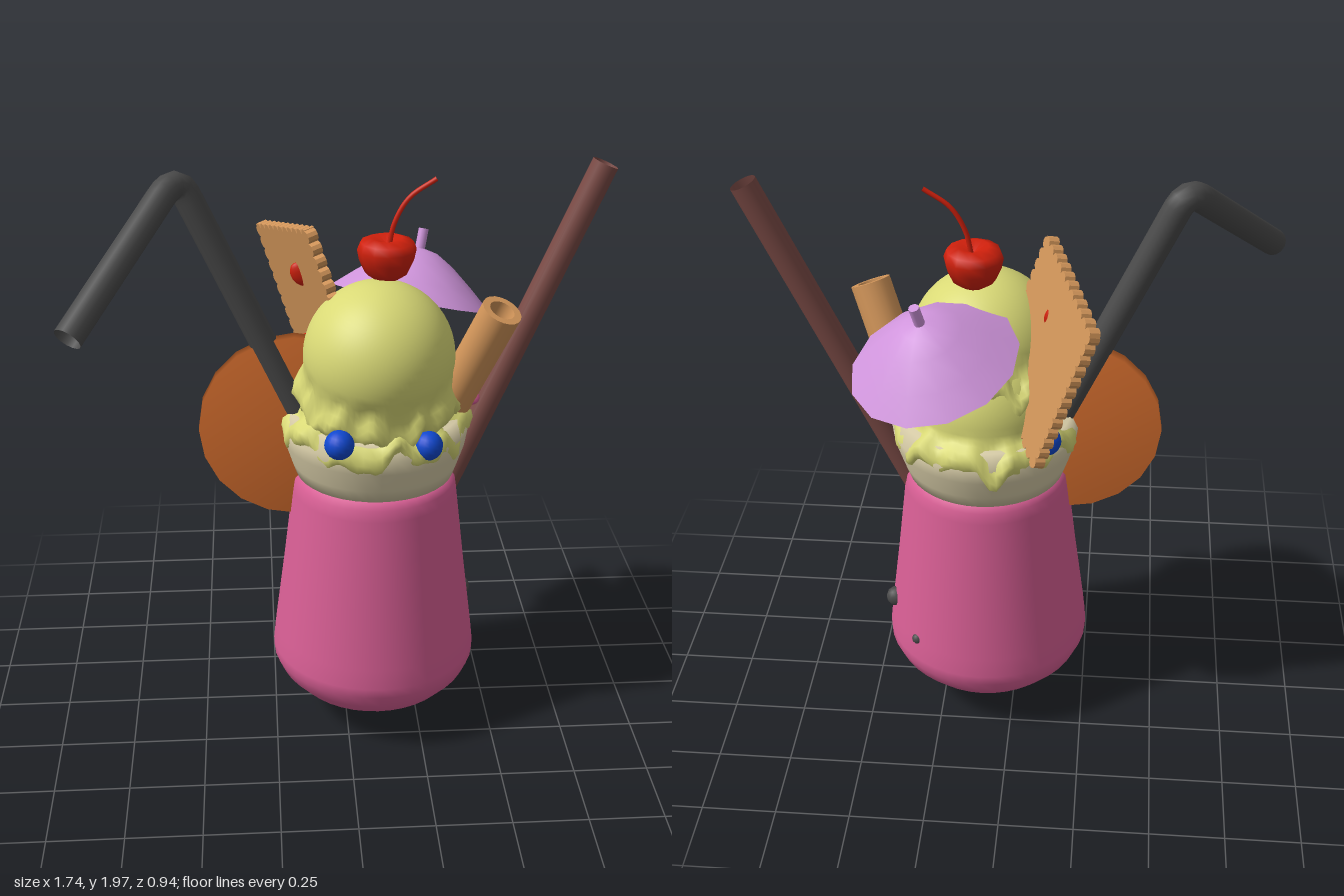
import * as THREE from 'three';
import { mergeVertices } from 'three/addons/utils/BufferGeometryUtils.js';

const V = (x, y, z) => new THREE.Vector3(x, y, z);
const P = (list) => list.map(([x, y]) => new THREE.Vector2(x, y));

function paint(name, color, double = false) {
  const m = new THREE.MeshStandardMaterial({ color });
  m.name = name;
  if (double) m.side = THREE.DoubleSide;
  return m;
}

export function createModel() {
  const model = new THREE.Group();
  model.name = 'iceCreamShake';

  const pink = paint('berryPink', 0xd95f95);
  const yellow = paint('lemonIceCream', 0xd9d976);
  const cream = paint('cream', 0xd8cda8);
  const orange = paint('orange', 0xd9702f);
  const purple = paint('paperPurple', 0xd095dc, true);
  const tan = paint('waferTan', 0xd3965a, true);
  const brown = paint('strawBrown', 0x7a4a45, true);
  const grey = paint('strawGrey', 0x4a4a4a, true);
  const red = paint('cherryRed', 0xd0200c);
  const blue = paint('blueberry', 0x1048d0);

  function add(name, geometry, material, pos) {
    const mesh = new THREE.Mesh(geometry, material);
    mesh.name = name;
    if (pos) mesh.position.set(...pos);
    model.add(mesh);
    return mesh;
  }

  // Straight round bar between two points
  function rod(name, a, b, r, material, open = true, sides = 16) {
    const dir = b.clone().sub(a);
    const mesh = add(name, new THREE.CylinderGeometry(r, r, dir.length(), sides, 1, open), material);
    mesh.position.copy(a).addScaledVector(dir, 0.5);
    mesh.quaternion.setFromUnitVectors(V(0, 1, 0), dir.normalize());
    return mesh;
  }

  // Cup
  add('cup', new THREE.LatheGeometry(P([
    [0, 0.01], [0.1, 0.04], [0.2, 0.085], [0.28, 0.14], [0.33, 0.195], [0.352, 0.245], [0.353, 0.28],
    [0.345, 0.35], [0.312, 0.6], [0.278, 0.88], [0.272, 0.92], [0.255, 0.942], [0.22, 0.95], [0, 0.95],
  ]), 40), pink, [0.1, 0, 0.02]);

  // Dark chips showing through the cup wall
  const chip = new THREE.IcosahedronGeometry(0.036, 1);
  add('chip', chip, grey, [0.42, 0.41, -0.07]);
  add('smallChip', chip, grey, [0.325, 0.355, -0.23]).scale.setScalar(0.55);

  // Cream filling above the cup
  add('creamBase', new THREE.LatheGeometry(P([
    [0, 0.945], [0.26, 0.945], [0.275, 0.99], [0.297, 1.06], [0.305, 1.11], [0.28, 1.165], [0, 1.18],
  ]), 40), cream, [0.1, 0, 0.015]).scale.x = 1.02;

  // Scoop: smooth dome with a ruffled skirt
  function scoop(name, R, skirt, seed, pos, tilt) {
    const pts = skirt.map(([x, y]) => [x, y]);
    for (let i = 0; i <= 16; i++) {
      const a = (i / 16) * Math.PI / 2;
      pts.push([R * Math.cos(a), R * Math.sin(a)]);
    }
    let g = new THREE.LatheGeometry(P(pts), 96);
    g.deleteAttribute('uv');
    g.deleteAttribute('normal');
    g = mergeVertices(g, 1e-5);
    const p = g.attributes.position;
    for (let i = 0; i < p.count; i++) {
      const x = p.getX(i), y = p.getY(i), z = p.getZ(i);
      if (y > -0.005) continue;
      const t = Math.atan2(z, x), w = Math.min(1, -y / 0.08);
      const lump = Math.sin(7 * t + seed) * 0.5 + Math.sin(13 * t + 2 * seed + y * 25) * 0.5
        + Math.sin(23 * t - seed + y * 60) * 0.45;
      const k = 1 + 0.035 * w * lump;
      p.setXYZ(i, x * k, y + w * 0.018 * (Math.sin(5 * t + seed) + Math.sin(11 * t - seed) + 0.6 * Math.sin(19 * t)), z * k);
    }
    g.computeVertexNormals();
    add(name, g, yellow, pos).rotation.x = tilt;
  }
  scoop('lowerScoop', 0.25, [[0.05, -0.09], [0.25, -0.115], [0.285, -0.135], [0.305, -0.12], [0.312, -0.095],
    [0.308, -0.07], [0.29, -0.05], [0.262, -0.035], [0.252, -0.015]], 1.3, [0.1, 1.21, 0.015], 0);
  scoop('upperScoop', 0.245, [[0.05, -0.13], [0.2, -0.155], [0.245, -0.175], [0.265, -0.165], [0.274, -0.14],
    [0.27, -0.115], [0.255, -0.09], [0.243, -0.065], [0.242, -0.03]], 4.1, [0.105, 1.383, 0.09], 0.31);

  // Round fruit slice tucked into the rim
  add('orangeSlice', new THREE.LatheGeometry(P([[0, -0.022], [0.32, -0.022], [0.32, 0.022], [0, 0.022]]), 20),
    orange, [-0.165, 1.11, 0.02]).rotation.x = Math.PI / 2;

  // Bent straw
  const bend = new THREE.CurvePath();
  const s0 = V(0.02, 0.78, 0.015), s1 = V(-0.49, 1.9, 0.015), s2 = V(-0.52, 1.965, 0.015),
    s3 = V(-0.565, 1.912, 0.075), s4 = V(-0.835, 1.6, 0.44);
  bend.add(new THREE.LineCurve3(s0, s1));
  bend.add(new THREE.QuadraticBezierCurve3(s1, s2, s3));
  bend.add(new THREE.LineCurve3(s3, s4));
  add('bentStraw', new THREE.TubeGeometry(bend, 80, 0.045, 14), grey);

  // Straight straw
  rod('straightStraw', V(0.338, 0.86, 0.005), V(0.825, 1.965, -0.037), 0.043, brown);

  // Rolled wafer with a hollow end
  const rollA = V(0.32, 1.1, 0.0), rollB = V(0.487, 1.55, 0.15);
  rod('waferRoll', rollA, rollB, 0.066, tan, true, 20);
  rod('waferRollInner', rollA, rollB, 0.042, tan, true, 20);
  const rim = add('waferRollRim', new THREE.RingGeometry(0.042, 0.066, 20), tan);
  rim.position.copy(rollB);
  rim.quaternion.setFromUnitVectors(V(0, 0, 1), rollB.clone().sub(rollA).normalize());

  // Biscuit with a scalloped outline
  const corner = V(-0.265, 1.68, -0.39);
  const u = V(0.155, 0.11, 0.43).normalize(), v = V(0.175, -0.53, 0.08);
  v.addScaledVector(u, -v.dot(u)).normalize();
  const W = 0.47, H = 0.56, outline = [];
  function teeth(x0, y0, x1, y1, n) {
    const L = Math.hypot(x1 - x0, y1 - y0), nx = (y1 - y0) / L, ny = (x0 - x1) / L;
    for (let i = 0; i < n; i++) {
      for (const [f, d] of [[0, -0.012], [0.2, 0.002], [0.5, 0.006], [0.8, 0.002]]) {
        const t = (i + f) / n;
        outline.push([x0 + (x1 - x0) * t + nx * d, y0 + (y1 - y0) * t + ny * d]);
      }
    }
  }
  teeth(0, 0, W, 0, 11);
  teeth(W, 0, W, H, 13);
  teeth(W, H, 0, H, 11);
  teeth(0, H, 0, 0, 13);
  const biscuitGeo = new THREE.ExtrudeGeometry(new THREE.Shape(P(outline)), { depth: 0.034, bevelEnabled: false });
  biscuitGeo.translate(0, 0, -0.017);
  biscuitGeo.applyMatrix4(new THREE.Matrix4().makeBasis(u, v, u.clone().cross(v)).setPosition(corner));
  add('biscuit', biscuitGeo, tan);

  // Paper umbrella
  const up = V(0.2, 0.94, -0.27).normalize(), hub = V(0.235, 1.465, -0.21);
  const shade = add('umbrellaShade', new THREE.LatheGeometry(P([
    [0.272, 0], [0.2, 0.062], [0.12, 0.125], [0.06, 0.16], [0, 0.172],
  ]), 13), purple);
  shade.position.copy(hub);
  shade.quaternion.setFromUnitVectors(V(0, 1, 0), up);
  rod('umbrellaStick', hub.clone().addScaledVector(up, -0.2), hub.clone().addScaledVector(up, 0.235), 0.017, purple, false, 10);

  // Cherry and stem
  add('cherry', new THREE.LatheGeometry(P([
    [0, -0.062], [0.04, -0.066], [0.07, -0.045], [0.088, -0.005], [0.095, 0.03], [0.085, 0.055], [0.05, 0.068], [0, 0.045],
  ]), 12), red, [0.132, 1.685, 0.02]);
  add('cherryStem', new THREE.TubeGeometry(new THREE.CatmullRomCurve3([
    V(0.138, 1.72, 0.02), V(0.155, 1.8, 0.02), V(0.2, 1.88, 0.02), V(0.285, 1.94, 0.02),
  ]), 16, 0.008, 8), red);

  // Red fruit pieces at the biscuit
  const piece = add('redSliver', new THREE.SphereGeometry(0.045, 12, 8), red, [-0.135, 1.59, -0.115]);
  piece.scale.set(0.75, 1, 0.4);
  piece.rotation.z = 0.6;
  add('redPiece', new THREE.SphereGeometry(0.055, 12, 8), red, [-0.11, 1.33, -0.13]).scale.y = 0.8;

  // Blueberries
  for (const pos of [[-0.035, 1.165, 0.295], [0.25, 1.14, 0.265], [-0.115, 1.185, -0.2]]) {
    add('blueberry', new THREE.SphereGeometry(0.048, 16, 12), blue, pos);
  }

  // Raspberry built from small beads
  for (let i = 0; i < 26; i++) {
    const y = 1 - (2 * (i + 0.5)) / 26, r = Math.sqrt(1 - y * y), a = i * 2.4;
    add('raspberryBead', new THREE.SphereGeometry(0.022, 8, 6), pink,
      [0.385 + 0.052 * r * Math.cos(a), 1.215 + 0.045 * y, 0.002 + 0.065 * r * Math.sin(a)]);
  }

  return model;
}
